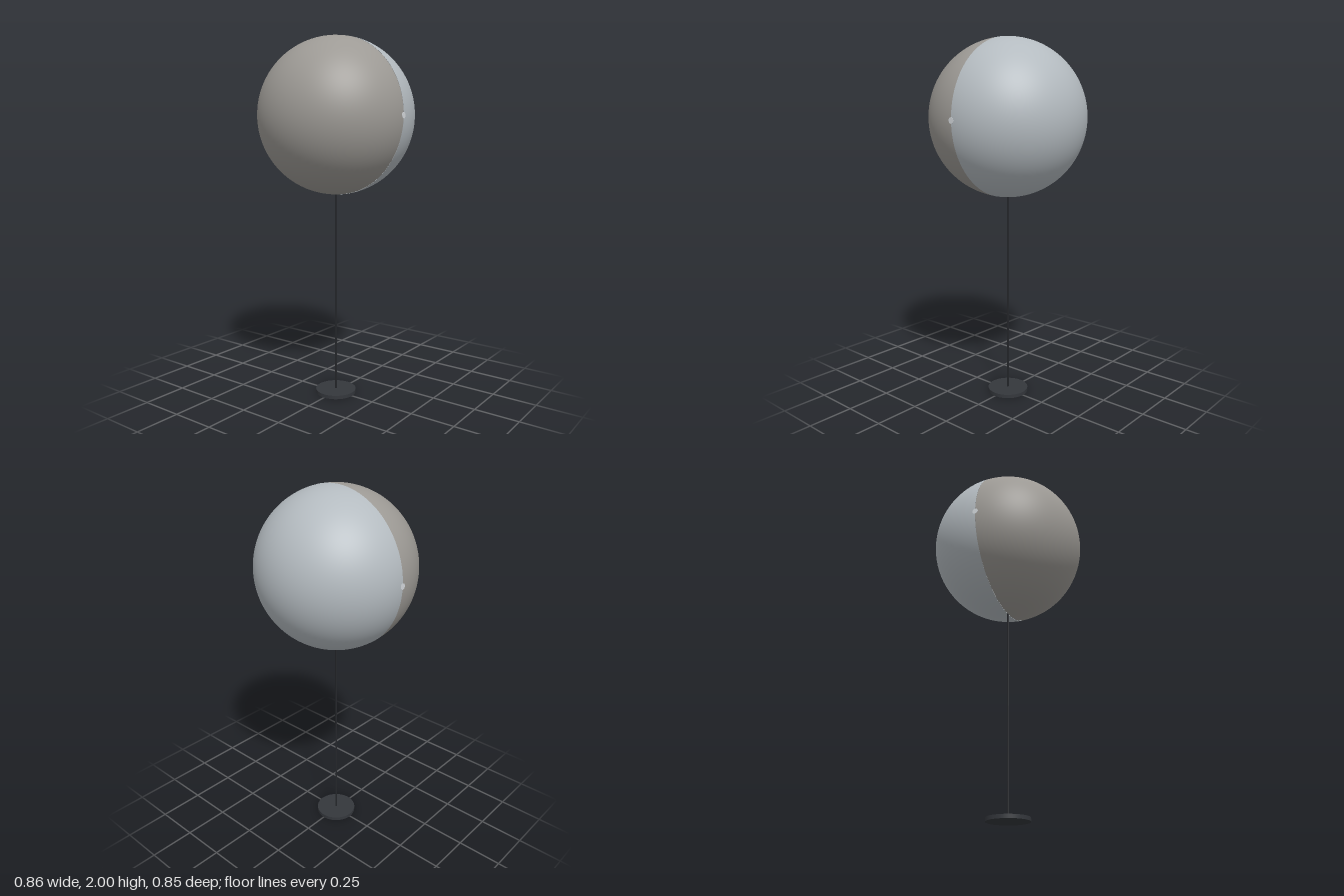
import * as THREE from 'three';

const R = 0.427;      // globe radius
const CY = 2 - R;     // globe centre height

function part(name, geometry, color, y = 0) {
  const mesh = new THREE.Mesh(geometry, new THREE.MeshStandardMaterial({ color }));
  mesh.name = name;
  mesh.position.y = y;
  return mesh;
}

// Half shell with its poles on the x axis, so the seam lies in the plane z = 0
function halfShell(name, radius, phiStart, color) {
  const geometry = new THREE.SphereGeometry(radius, 48, 64, phiStart, Math.PI);
  geometry.rotateZ(Math.PI / 2);
  const mesh = part(name, geometry, color, CY);
  mesh.material.side = THREE.DoubleSide;
  return mesh;
}

export function createModel() {
  const model = new THREE.Group();
  model.name = 'globeLamp';

  // Round foot and thin stem
  model.add(part('base', new THREE.CylinderGeometry(0.114, 0.114, 0.02, 64), 0x34373c, 0.01));
  const stemTop = CY - R + 0.01;
  model.add(part('stem', new THREE.CylinderGeometry(0.005, 0.005, stemTop - 0.01, 16), 0x25272b, (stemTop + 0.01) / 2));

  // Globe made of a front and a back half
  model.add(halfShell('frontShell', R - 0.001, 0, 0x9d9a95));
  model.add(halfShell('backShell', R, Math.PI, 0xb4bbc0));

  // Pivot pins where the halves meet, one on each side
  for (const side of [1, -1]) {
    const pin = part(side > 0 ? 'leftPin' : 'rightPin', new THREE.CylinderGeometry(0.016, 0.016, 0.012, 24), 0xd4d8dc, CY);
    pin.rotation.z = Math.PI / 2;
    pin.position.x = side * (R - 0.005);
    model.add(pin);
  }
  return model;
}
